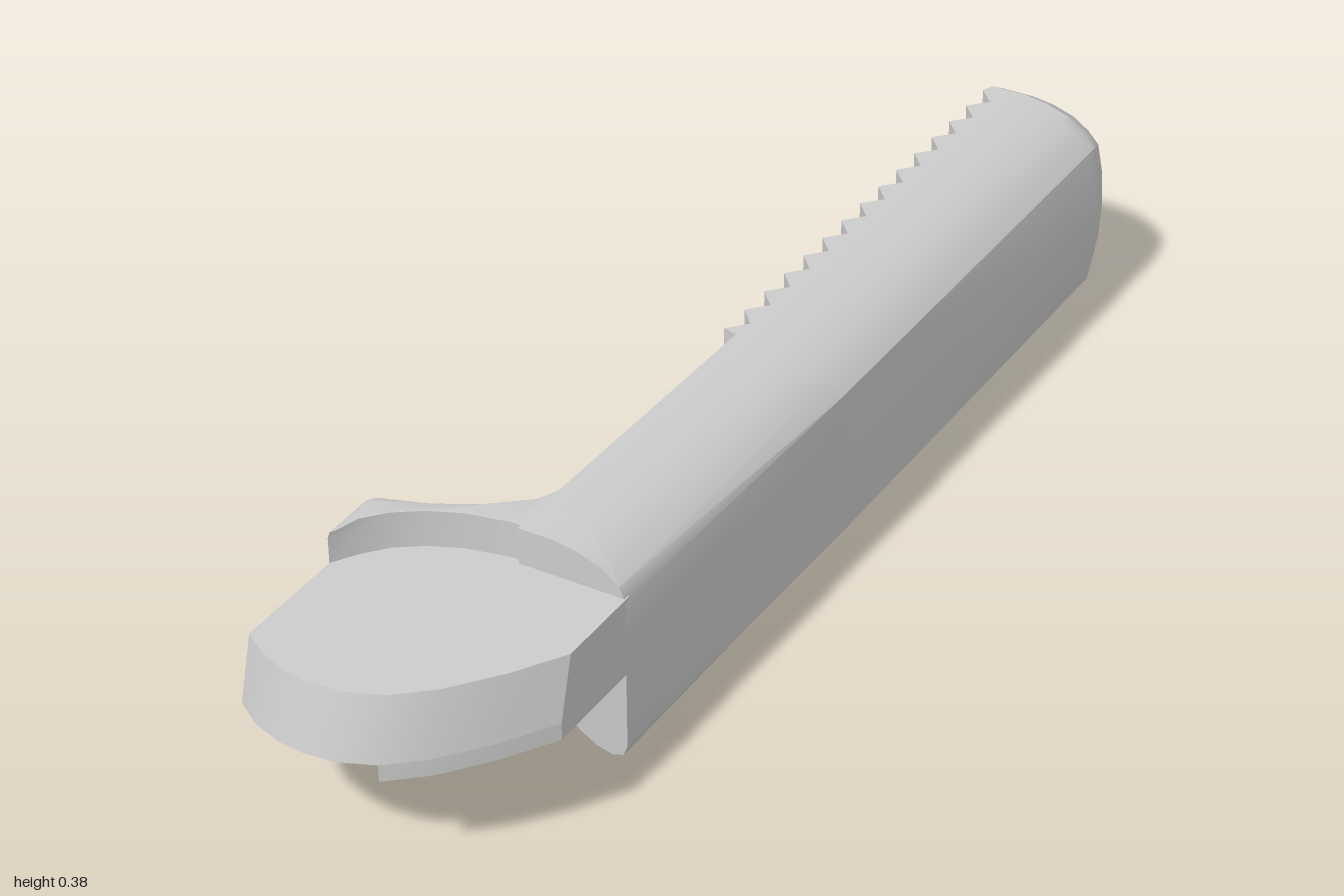
import * as THREE from 'three';
import { toCreasedNormals } from 'three/addons/utils/BufferGeometryUtils.js';

const material = new THREE.MeshStandardMaterial({ color: 0xcccccc });

// Skins a stack of equal-count rings and caps both ends.
// flat() projects a point to 2D, looking against the stacking direction.
function loft(name, rings, flat, crease = 0.5) {
  const project = (ring) => ring.map(flat);
  const last = rings.length - 1, n = rings[0].length, pos = [];
  if (THREE.ShapeUtils.area(project(rings[last])) < 0) rings = rings.map((r) => [...r].reverse());
  const tri = (...points) => points.forEach((p) => pos.push(p.x, p.y, p.z));
  for (let k = 0; k < last; k++) {
    for (let i = 0; i < n; i++) {
      const j = (i + 1) % n;
      const [a, b, c, d] = [rings[k][i], rings[k][j], rings[k + 1][j], rings[k + 1][i]];
      tri(a, b, c);
      tri(a, c, d);
    }
  }
  for (const [ring, top] of [[rings[0], false], [rings[last], true]]) {
    for (const [a, b, c] of THREE.ShapeUtils.triangulateShape(project(ring), [])) {
      if (top) tri(ring[a], ring[b], ring[c]);
      else tri(ring[a], ring[c], ring[b]);
    }
  }
  const geometry = new THREE.BufferGeometry();
  geometry.setAttribute('position', new THREE.Float32BufferAttribute(pos, 3));
  const mesh = new THREE.Mesh(toCreasedNormals(geometry, crease), material);
  mesh.name = name;
  return mesh;
}

const alongZ = (p) => new THREE.Vector2(p.x, p.y);
const alongY = (p) => new THREE.Vector2(p.x, -p.z);

// D-shaped handle section: outer curve from bottom to top
const MID = 0.19, WIDE = 0.214;
const lower = [[0.07, 0], [0.11, 0.006], [0.15, 0.02], [0.18, 0.042], [0.2, 0.065], [0.21, 0.12]];
const curve = [...lower, [WIDE, MID], ...[...lower].reverse().map(([x, y]) => [x, 2 * MID - y])];

function section(z, inner, half = MID, width = WIDE, floor = 0) {
  const limit = THREE.MathUtils.mapLinear(Math.max(z, -0.88), -0.88, 0.6, WIDE, 0.19);
  const points = [[inner, 0], ...curve, [inner, 2 * MID]];
  return points.map(([x, y], i) => {
    const edge = i === 0 || i === points.length - 1;
    const px = edge ? x : Math.min(x * width / WIDE, limit);
    return new THREE.Vector3(px, Math.max(floor, MID + (y - MID) * half / MID), z);
  });
}

// Oblique front end of the handle
function slanted(floor) {
  const ring = section(0.6, 0.015, MID, WIDE, floor);
  ring.forEach((p) => { p.z = 0.5 + (p.x - 0.015) * 0.57; });
  return ring;
}

function handle() {
  // Rounded rear end: z, half height, width
  const dome = [[-1, 0.05, 0.1], [-0.985, 0.09, 0.145], [-0.96, 0.13, 0.175], [-0.92, 0.167, 0.202], [-0.88, MID, WIDE]];
  const rings = dome.map(([z, half, width]) => section(z, 0.01, half, width));
  // Gripping teeth
  const teeth = 14, pitch = 0.0614;
  for (let k = 0; k < teeth; k++) {
    const z = -0.86 + k * pitch;
    rings.push(section(z, 0.002), section(z + pitch / 2, 0.03));
  }
  rings.push(section(0, 0.002), section(0.006, 0.026), slanted(0));
  return loft('toothedHandle', rings, alongZ);
}

// Head outlines in x, z
const back = [[0.02, 0.48], [0, 0.51], [-0.06, 0.56], [-0.13, 0.598], [-0.2, 0.622], [-0.215, 0.635]];
const nose = [[-0.215, 0.95], [-0.17, 0.98], [-0.12, 0.996], [-0.08, 1], [-0.03, 0.995], [0.025, 0.972],
  [0.08, 0.925], [0.14, 0.85], [0.19, 0.77]];
const ring = (outline, y) => outline.map(([x, z]) => new THREE.Vector3(x, y, z));

export function createModel() {
  const group = new THREE.Group();
  group.add(handle());

  // Rounded shoulder carrying the handle's upper half to the step
  group.add(loft('shoulder', [slanted(0.2), section(0.598, 0.015, MID, WIDE, 0.2)], alongZ));

  // Head plate with a sloping front edge
  const root = [[0.19, 0.59], [0.15, 0.5]];
  const drawnIn = nose.map(([x, z]) => [x, z - 0.028]);
  group.add(loft('headPlate', [
    ring([...back, ...nose, ...root], 0.22),
    ring([...back, ...drawnIn, ...root], 0.32),
  ], alongY));

  // Underside pad with the corner notch
  const pad = [...back, [-0.215, 0.82], [0.025, 0.82], ...nose.slice(5), ...root];
  group.add(loft('undersidePad', [ring(pad, 0.192), ring(pad, 0.22)], alongY));

  // Raised crescent with a softened back edge
  const step = [[-0.215, 0.73], [-0.19, 0.69], [-0.16, 0.655], [-0.12, 0.627], [-0.07, 0.605], [0, 0.59],
    [0.07, 0.592], [0.07, 0.5]];
  const soften = (d) => [
    ...back.map(([x, z], i) => [Math.max(x, -0.215 + d), i ? z + d : z]),
    ...step.map(([x, z]) => [Math.max(x, -0.215 + d), z]),
  ];
  group.add(loft('raisedCrescent', [
    ring(soften(0), 0.32), ring(soften(0), 0.362), ring(soften(0.004), 0.374), ring(soften(0.014), 0.38),
  ], alongY, 0.7));

  return group;
}
